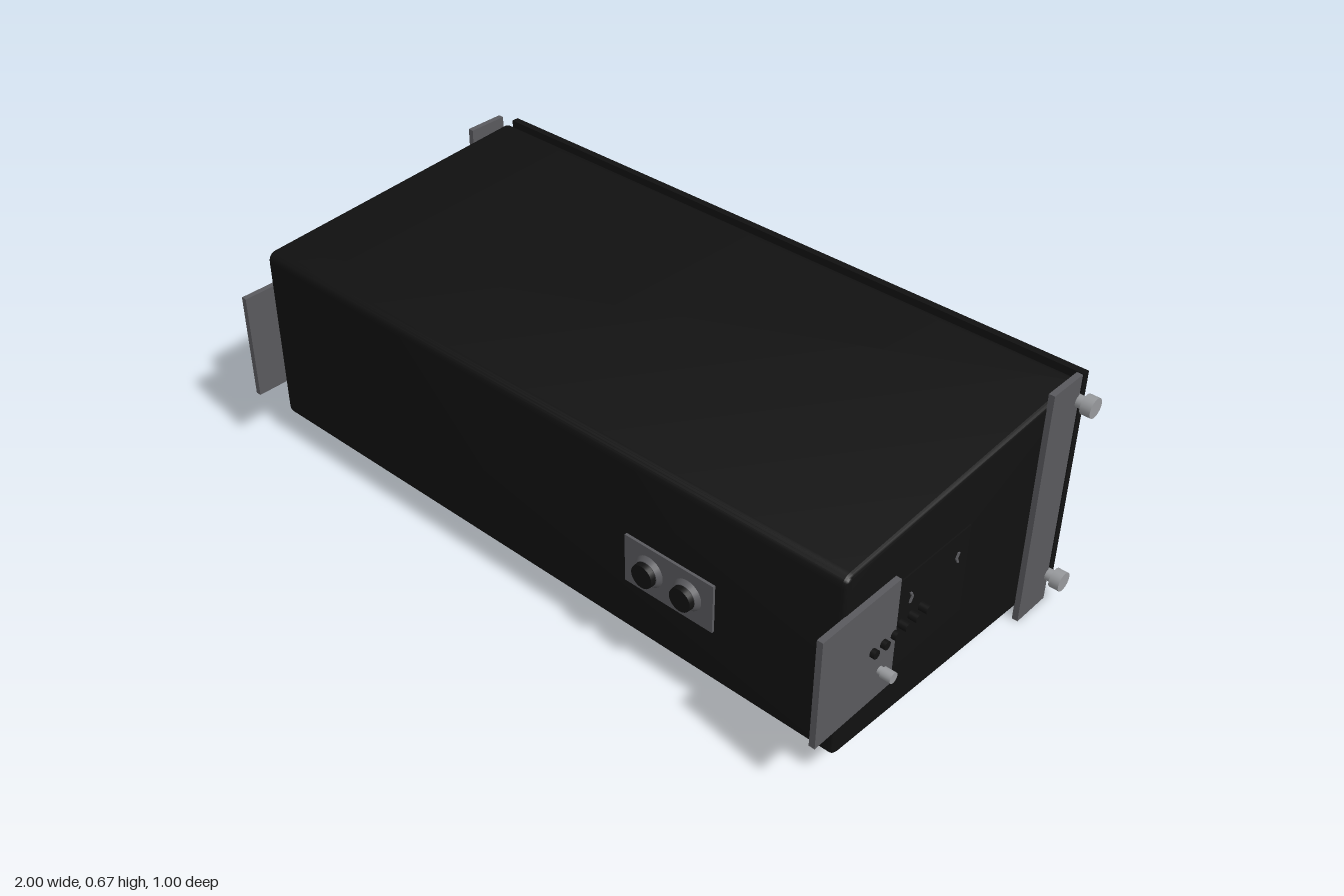
import * as THREE from 'three';
import { toCreasedNormals } from 'three/addons/utils/BufferGeometryUtils.js';

const mat = (name, color) => Object.assign(new THREE.MeshStandardMaterial({ color }), { name });

// Polygon with rounded corners
function roundedShape(pts, r) {
  const shape = new THREE.Shape();
  const v = pts.map(p => new THREE.Vector2(...p));
  v.forEach((p, i) => {
    const toward = q => p.clone().add(q.clone().sub(p).setLength(r));
    const a = toward(v[(i + v.length - 1) % v.length]);
    const b = toward(v[(i + 1) % v.length]);
    if (i === 0) shape.moveTo(a.x, a.y); else shape.lineTo(a.x, a.y);
    shape.quadraticCurveTo(p.x, p.y, b.x, b.y);
  });
  shape.closePath();
  return shape;
}

export function createModel() {
  const root = new THREE.Group();
  root.name = 'loudspeaker';
  const black = mat('cabinet black', 0x111111);
  const grey = mat('plate grey', 0x59595d);
  const steel = mat('bolt steel', 0x97999c);

  const add = (parent, name, geo, material, x, y, z) => {
    const m = new THREE.Mesh(geo, material);
    m.name = name;
    m.position.set(x, y, z);
    parent.add(m);
    return m;
  };
  const box = (parent, name, material, [x0, x1], [y0, y1], [z0, z1]) =>
    add(parent, name, new THREE.BoxGeometry(x1 - x0, y1 - y0, z1 - z0), material,
      (x0 + x1) / 2, (y0 + y1) / 2, (z0 + z1) / 2);

  // Wedge cabinet: side profile extruded across the width
  const profile = roundedShape([[-0.415, 0.083], [0.455, 0.028], [0.455, 0.647], [-0.415, 0.592]], 0.026);
  const cab = new THREE.ExtrudeGeometry(profile, {
    depth: 1.86, bevelEnabled: true, bevelThickness: 0.01, bevelSize: 0.01,
    bevelOffset: -0.01, bevelSegments: 3, curveSegments: 6,
  });
  cab.translate(0, 0, -0.93).rotateY(Math.PI / 2);
  add(root, 'cabinet', toCreasedNormals(cab, 0.6), black, 0, 0, 0);

  // Grille: frame, dividers and slightly sunken panels
  const grille = new THREE.Group();
  grille.name = 'grille';
  root.add(grille);
  const zg = [-0.487, -0.467];
  for (const y of [[0.028, 0.05], [0.625, 0.647]]) box(grille, 'grilleRail', black, [-0.94, 0.94], y, zg);
  for (const s of [-1, 1]) {
    box(grille, 'grilleStile', black, [s * 0.925 - 0.015, s * 0.925 + 0.015], [0.05, 0.625], zg);
    box(grille, 'grilleDivider', black, [s * 0.31 - 0.005, s * 0.31 + 0.005], [0.05, 0.625], zg);
  }
  for (const x of [-0.612, 0, 0.612]) {
    const w = x ? 0.297 : 0.305;
    box(grille, 'grillePanel', black, [x - w, x + w], [0.05, 0.625], [-0.482, -0.467]);
  }
  for (const y of [0.075, 0.6]) box(grille, 'grilleClip', black, [-0.065, 0.065], [y - 0.008, y + 0.008], [-0.467, -0.455]);
  box(root, 'badgePlate', steel, [0.705, 0.855], [0.03, 0.066], [-0.5, -0.491]);

  // Connector panel with two sockets
  box(root, 'connectorPlate', grey, [0.335, 0.6], [0.24, 0.375], [0.413, 0.422]);
  for (const x of [0.41, 0.525]) {
    const ring = new THREE.CylinderGeometry(0.034, 0.042, 0.012, 24).rotateX(Math.PI / 2);
    add(root, 'socketRing', ring, grey, x, 0.308, 0.428);
    const socket = new THREE.CylinderGeometry(0.031, 0.033, 0.026, 24).rotateX(Math.PI / 2);
    add(root, 'socket', socket, black, x, 0.308, 0.435);
  }

  // Rigging hardware on both sides
  const chevron = new THREE.Shape();
  [[-0.006, 0.014], [0, 0.014], [0.007, 0], [0, -0.014], [-0.006, -0.014], [0.001, 0]]
    .forEach(([x, y], i) => (i ? chevron.lineTo(x, y) : chevron.moveTo(x, y)));
  const chevronGeo = new THREE.ExtrudeGeometry(chevron, { depth: 0.004, bevelEnabled: false });
  chevronGeo.translate(0, 0, -0.002).rotateY(Math.PI / 2);

  for (const s of [-1, 1]) {
    const side = new THREE.Group();
    side.name = s > 0 ? 'leftRigging' : 'rightRigging';
    root.add(side);
    const span = (a, b) => (s > 0 ? [a, b] : [-b, -a]);
    const disc = (name, material, r, x0, x1, y, z) =>
      add(side, name, new THREE.CylinderGeometry(r, r, x1 - x0, 20).rotateZ(Math.PI / 2),
        material, s * (x0 + x1) / 2, y, z);

    box(side, 'rearPlate', grey, span(0.939, 0.955), [0, 0.672], [-0.43, -0.313]);
    box(side, 'frontPlate', grey, span(0.939, 0.955), [0.187, 0.49], [0.233, 0.5]);

    // Bolts with wider heads
    for (const y of [0.078, 0.6]) {
      disc('boltShank', steel, 0.016, 0.93, 0.975, y, -0.43);
      disc('boltHead', steel, 0.026, 0.973, 1, y, -0.43);
    }
    disc('pinShank', steel, 0.01, 0.945, 0.97, 0.263, 0.283);
    disc('pinHead', steel, 0.014, 0.965, 0.993, 0.263, 0.283);

    // Row of angle-setting studs
    for (let i = 0; i < 6; i++) disc('angleStud', black, 0.011, 0.935, 0.967, 0.338, 0.317 - i * 0.038);

    // Handle panel with its marks
    box(side, 'handlePanel', black, span(0.938, 0.944), [0.21, 0.462], [-0.045, 0.222]);
    add(side, 'handleMark', chevronGeo, grey, s * 0.946, 0.395, 0.173);
    add(side, 'handleMark', chevronGeo, grey, s * 0.946, 0.395, 0).rotation.x = Math.PI;
    side.children.at(-1).rotation.set(0, Math.PI, 0);
  }
  return root;
}
